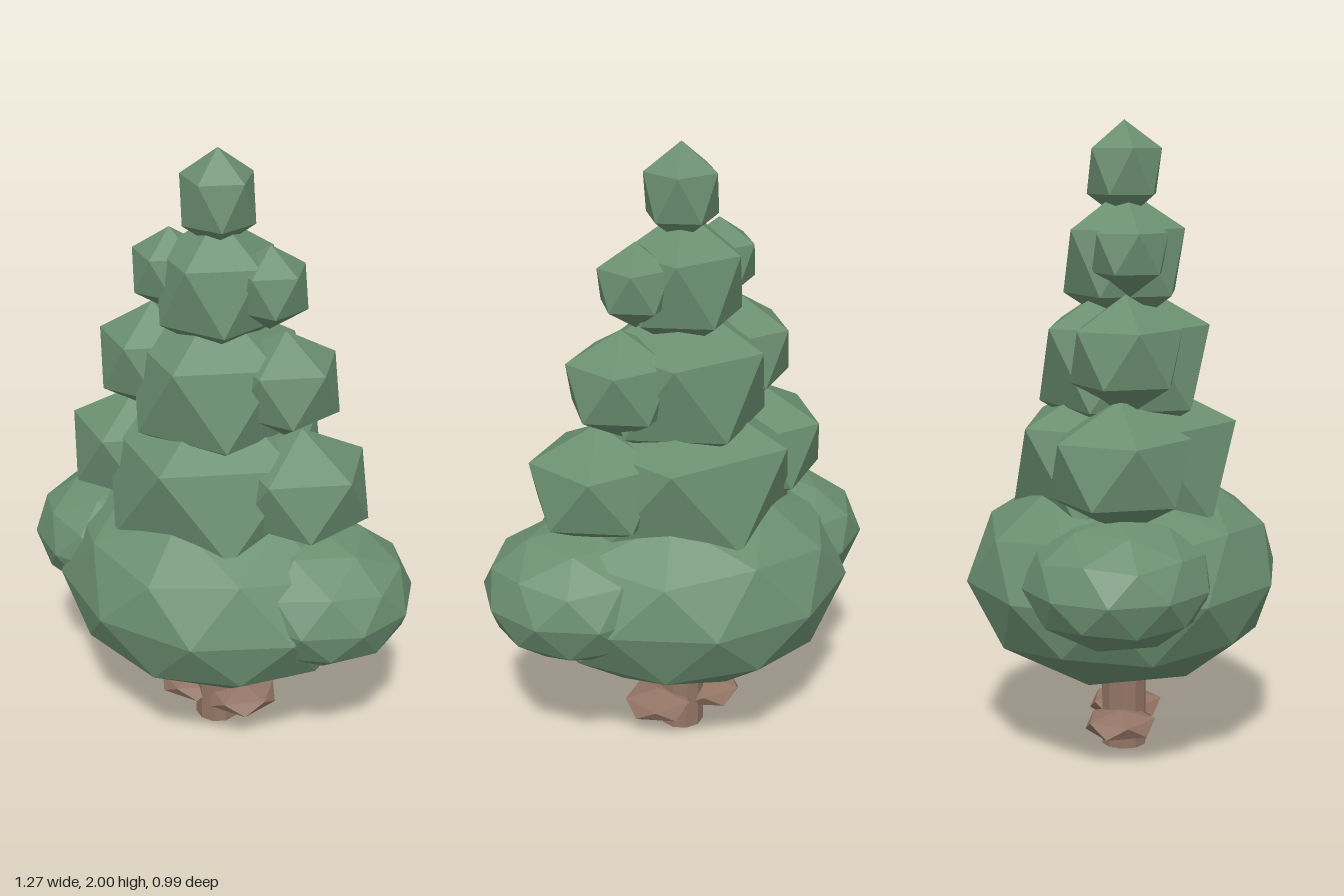
import * as THREE from 'three';

const leaf = new THREE.MeshStandardMaterial({ color: 0x6b8f71 });
leaf.name = 'leaf green';
const bark = new THREE.MeshStandardMaterial({ color: 0x937565 });
bark.name = 'bark brown';

const AXIS = -0.015; // x of the trunk line

// Faceted ellipsoid with one corner straight up and an upper-ring corner towards +x
function blob(name, material, [x, y, z], [rx, ry, rz], detail = 0) {
  const g = new THREE.IcosahedronGeometry(1, detail);
  g.rotateX(-Math.atan((1 + Math.sqrt(5)) / 2));
  g.rotateY(Math.PI / 2);
  g.scale(rx, ry, rz);
  g.computeVertexNormals(); // unshared corners give flat facets
  const mesh = new THREE.Mesh(g, material);
  mesh.name = name;
  mesh.position.set(x, y, z);
  return mesh;
}

export function createModel() {
  const tree = new THREE.Group();
  tree.name = 'tree';

  // Trunk
  const trunkGeo = new THREE.CylinderGeometry(0.0725, 0.0725, 0.4, 10).toNonIndexed();
  trunkGeo.computeVertexNormals();
  const trunk = new THREE.Mesh(trunkGeo, bark);
  trunk.name = 'trunk';
  trunk.position.set(AXIS, 0.2, 0);
  tree.add(trunk);

  // Flat roots around the trunk
  tree.add(
    blob('leftRoot', bark, [0.073, 0.1, -0.032], [0.125, 0.045, 0.132]),
    blob('rightRoot', bark, [-0.108, 0.095, 0.025], [0.125, 0.045, 0.125]),
  );

  // Wide rounder base of the crown with its two side clumps
  tree.add(
    blob('crownBase', leaf, [AXIS, 0.58, 0], [0.54, 0.352, 0.495], 1),
    blob('leftBaseClump', leaf, [0.334, 0.61, -0.105], [0.317, 0.22, 0.307], 1),
    blob('rightBaseClump', leaf, [-0.35, 0.635, 0.12], [0.3, 0.2, 0.29], 1),
  );

  // Upper tiers: middle [y, radius, half height], then clumps [x, y, z, radius, half height]
  const tiers = [
    { mid: [0.93, 0.395, 0.313], left: [0.272, 0.96, -0.09, 0.24, 0.2], right: [-0.285, 0.97, 0.1, 0.24, 0.207] },
    { mid: [1.25, 0.3, 0.274], left: [0.195, 1.285, -0.09, 0.19, 0.175], right: [-0.215, 1.3, 0.09, 0.19, 0.185] },
    { mid: [1.57, 0.212, 0.224], left: [0.144, 1.59, -0.07, 0.13, 0.134], right: [-0.148, 1.605, 0.075, 0.13, 0.135] },
  ];
  tiers.forEach(({ mid: [y, r, h], left, right }, i) => {
    const tier = new THREE.Group();
    tier.name = `tier${i + 1}`;
    tier.add(blob('tierMiddle', leaf, [AXIS, y, 0], [r, h, r]));
    for (const [name, [cx, cy, cz, cr, ch]] of [['leftClump', left], ['rightClump', right]]) {
      tier.add(blob(name, leaf, [cx, cy, cz], [cr, ch, cr]));
    }
    tree.add(tier);
  });

  // Tip
  tree.add(blob('tip', leaf, [-0.012, 1.844, 0], [0.13, 0.156, 0.13]));
  return tree;
}
